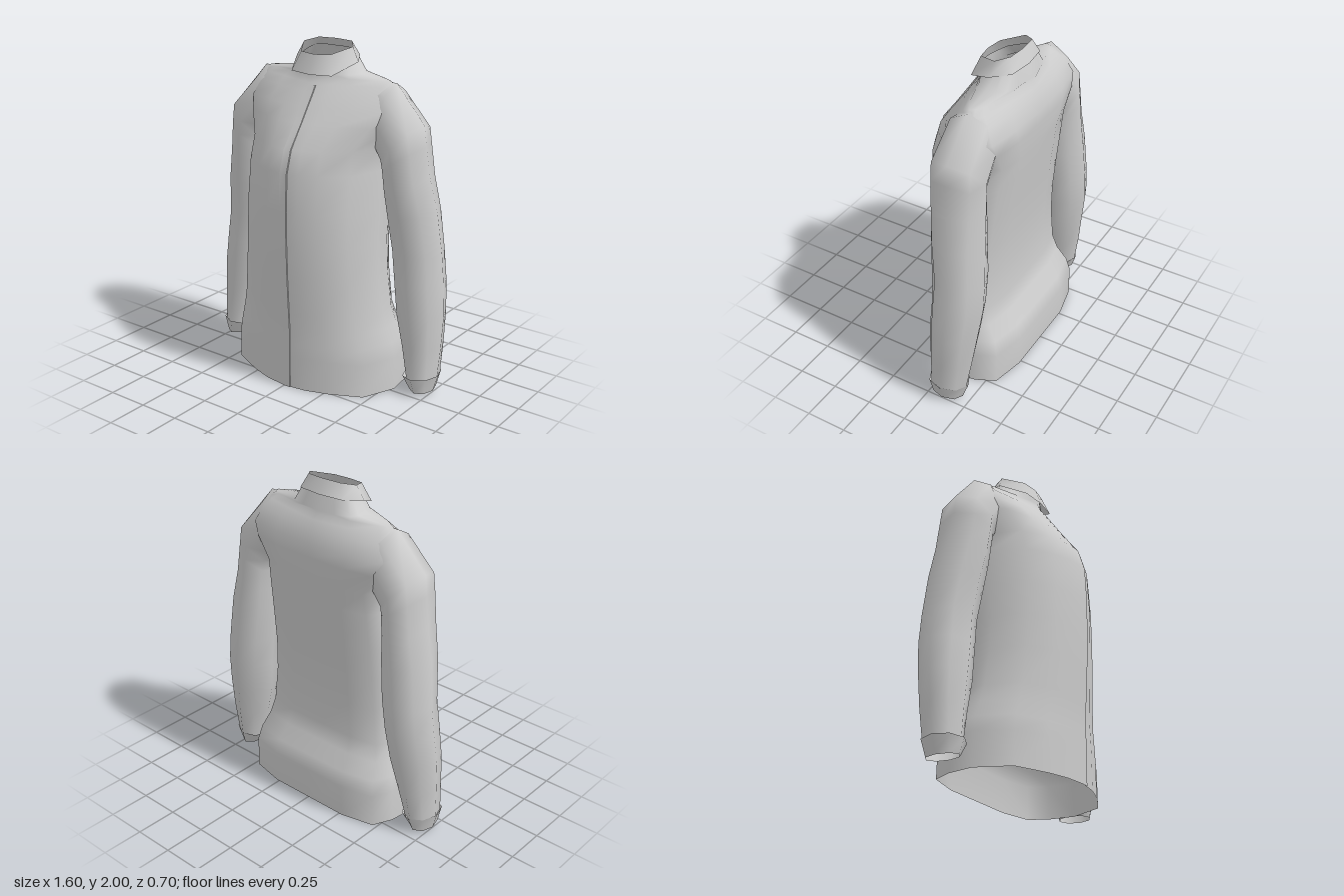
import * as THREE from 'three';

const material = new THREE.MeshStandardMaterial({ color: 0xcccccc, side: THREE.DoubleSide });

// Skin between cross-sections listed from bottom to top, each running front -> left -> back
function loft(name, rings, closed = true) {
  const n = rings[0].length, index = [];
  for (let i = 0; i < rings.length - 1; i++) {
    for (let j = 0; j < (closed ? n : n - 1); j++) {
      const k = (j + 1) % n, a = i * n + j, b = i * n + k;
      index.push(a, b, b + n, a, b + n, a + n);
    }
  }
  const geometry = new THREE.BufferGeometry();
  geometry.setAttribute('position', new THREE.Float32BufferAttribute(rings.flat(2), 3));
  geometry.setIndex(index);
  geometry.computeVertexNormals();
  const mesh = new THREE.Mesh(geometry, material);
  mesh.name = name;
  return mesh;
}

// Completes a half section (front centre to back centre) with its mirror image
const mirrorSection = (half) =>
  [...half, ...half.slice(1, -1).reverse().map(([x, y, z]) => [-x, y, z])];

// Torso: height, half width, front z, back z, z of the side, taper to the side, backward rise
const TORSO = [
  [0, 0.55, 0.325, -0.35, -0.03],
  [0.2, 0.545, 0.325, -0.35, -0.03],
  [0.29, 0.525, 0.325, -0.325, -0.03],
  [0.38, 0.497, 0.324, -0.262, -0.02],
  [0.48, 0.472, 0.33, -0.235, -0.01],
  [0.7, 0.446, 0.342, -0.23, 0],
  [0.9, 0.433, 0.348, -0.24, 0],
  [1.1, 0.428, 0.35, -0.26, -0.02],
  [1.32, 0.42, 0.34, -0.285, -0.05],
  [1.45, 0.412, 0.3, -0.3, -0.07],
  [1.58, 0.49, 0.205, -0.308, -0.1],
  [1.66, 0.53, 0.15, -0.31, -0.11, 0.1],
  [1.74, 0.5, 0.095, -0.285, -0.11, 0.25],
  [1.785, 0.465, 0.065, -0.268, -0.11, 0.5],
  [1.815, 0.42, 0.053, -0.252, -0.11, 0.65],
  [1.835, 0.235, 0.045, -0.245, -0.1, 0.2],
  [1.925, 0.162, 0.035, -0.19, -0.09, 0, 0.035],
];
// Half outline as fractions of half width and depth
const OUTLINE = [[0, 1], [0.25, 0.95], [0.49, 0.83], [0.84, 0.57], [1, 0],
  [0.96, -0.5], [0.86, -0.86], [0.49, -1], [0, -1]];

function torsoRing([y, w, front, back, mid, taper = 0, rise = 0]) {
  return mirrorSection(OUTLINE.map(([u, v]) => {
    const depth = v > 0 ? front - mid : mid - back;
    return [u * w, y - v * rise, mid + v * (1 - taper * u) * depth];
  }));
}

// Sleeve: outer x, y, inner x, y, front z, back z, from wrist to shoulder
const SLEEVE = [
  [0.785, 0.11, 0.6, 0.09, 0, -0.23],
  [0.795, 0.3, 0.555, 0.28, 0, -0.26],
  [0.8, 0.5, 0.5, 0.47, 0, -0.285],
  [0.782, 0.68, 0.475, 0.67, -0.002, -0.31],
  [0.763, 0.85, 0.45, 0.86, -0.01, -0.31],
  [0.735, 1.1, 0.432, 1.05, 0.02, -0.3],
  [0.69, 1.3, 0.425, 1.2, 0.045, -0.29],
  [0.665, 1.48, 0.42, 1.31, 0.057, -0.285],
  [0.65, 1.6, 0.41, 1.36, 0.058, -0.28],
  [0.46, 1.81, 0.38, 1.4, 0.035, -0.272],
  [0.29, 1.8, 0.3, 1.45, -0.01, -0.23],
];
const CUFF = [
  [0.765, 0.022, 0.63, 0.03, -0.005, -0.21],
  [0.795, 0.125, 0.575, 0.105, 0.015, -0.24],
];

// Eight-sided tilted ring; side is +1 for left and -1 for right
function armRing([xo, yo, xi, yi, front, back], side) {
  const ring = [];
  for (let i = 0; i < 8; i++) {
    const t = side * i * Math.PI / 4, s = Math.sin(t), c = Math.cos(t);
    // The section is mirrored in x and walked the other way round for the right arm
    ring.push([side * (xo + xi) / 2 + s * (xo - xi) / 2,
      (yo + yi) / 2 + side * s * (yo - yi) / 2,
      (front + back) / 2 + c * (front - back) / 2]);
  }
  return side > 0 ? ring : [ring[0], ...ring.slice(1).reverse()];
}

export function createModel() {
  const jacket = new THREE.Group();
  jacket.name = 'jacket';
  jacket.add(loft('torso', TORSO.map(torsoRing)));

  // Overlapping front closure with its free edge on the left
  const flap = TORSO.filter(([y]) => y < 1.78)
    .map(([y, , z]) => [[-0.005, y, z + 0.001], [0.042, y, z + 0.001]]);
  flap.push([[-0.005, 1.775, 0.073], [0.042, 1.775, 0.073]]);
  jacket.add(loft('frontFlap', flap, false));
  jacket.add(loft('flapEdge', flap.map(([, [x, y, z]]) => [[x, y, z], [x, y, z - 0.009]]), false));

  // Stand collar, higher at the back
  jacket.add(loft('collar', [
    [[0, 1.83, 0.07], [0.14, 1.835, 0.052], [0.215, 1.9, -0.1], [0.15, 1.918, -0.21], [0, 1.92, -0.228]],
    [[0, 1.94, 0.03], [0.1, 1.945, 0.012], [0.17, 1.98, -0.11], [0.115, 1.998, -0.178], [0, 2, -0.19]],
  ].map(mirrorSection)));

  for (const side of [1, -1]) {
    const arm = new THREE.Group();
    arm.name = side > 0 ? 'leftArm' : 'rightArm';
    arm.add(loft('sleeve', SLEEVE.map((r) => armRing(r, side))));
    arm.add(loft('cuff', CUFF.map((r) => armRing(r, side))));
    jacket.add(arm);
  }
  return jacket;
}
